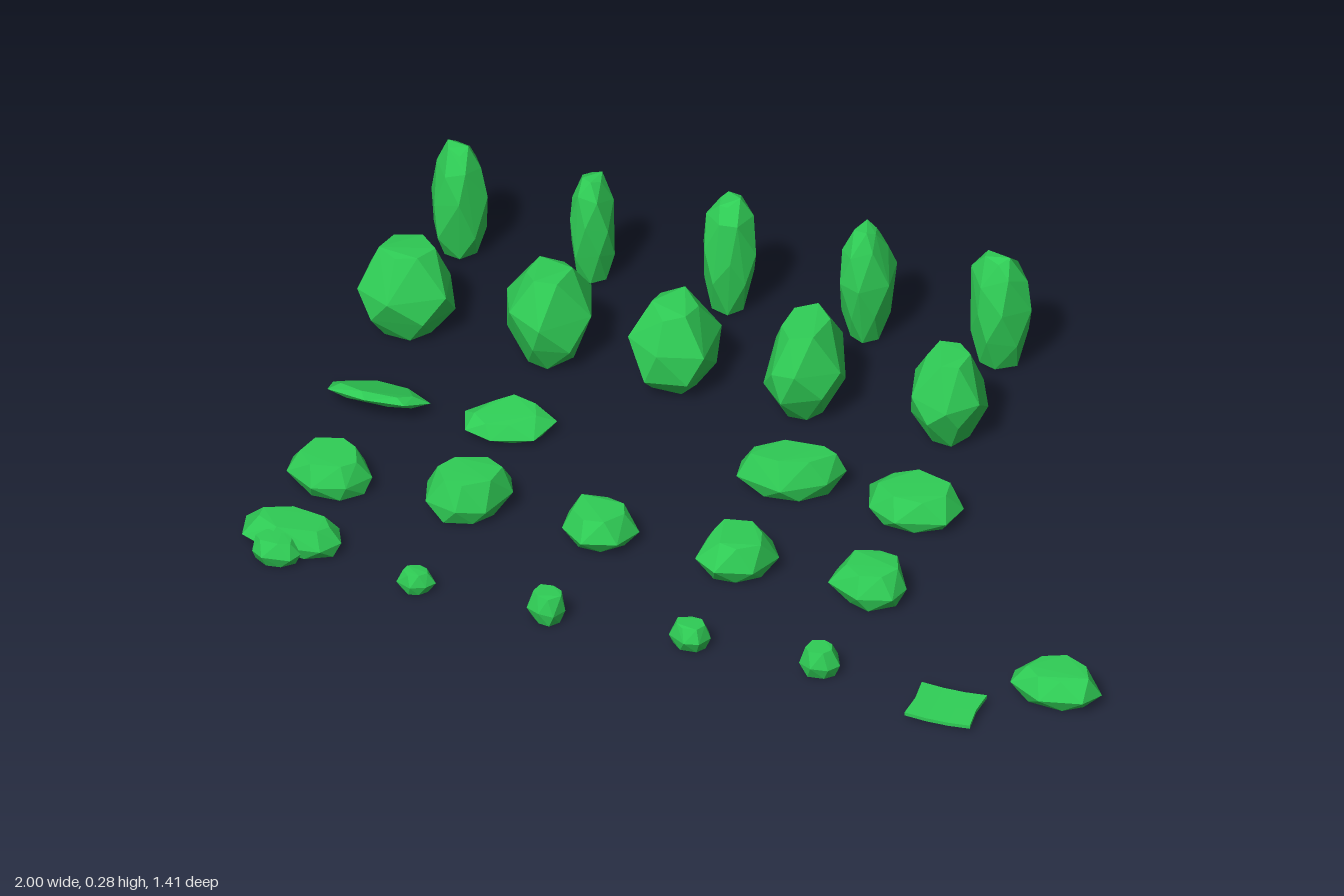
import * as THREE from 'three';
import { ConvexGeometry } from 'three/addons/geometries/ConvexGeometry.js';

const material = new THREE.MeshStandardMaterial({ color: 0x2fcc55, flatShading: true });

// small seeded generator so every rock is different but repeatable
function seeded(seed) {
  let s = seed * 7919 + 17;
  return () => {
    s = (Math.imul(s, 1664525) + 1013904223) >>> 0;
    return s / 4294967296;
  };
}

// stacked rings per kind: [radius, height]
const profiles = {
  tall: [[0.62, 0], [0.92, 0.25], [1, 0.55], [0.82, 0.8], [0.42, 1]],
  boulder: [[0.55, 0], [0.93, 0.28], [1, 0.58], [0.55, 1]],
  low: [[0.75, 0], [1, 0.4], [0.68, 1]],
};

// a faceted convex rock fitted exactly into x0..x1, 0..height, z0..z1
function rock(name, kind, [x0, x1, z0, z1, height, skew = 0, tilt = 0], seed) {
  const random = seeded(seed);
  const sides = kind === 'low' ? 7 : 6;
  const points = [];
  profiles[kind].forEach(([radius, y], ring) => {
    const turn = random() * 0.5 + ring * Math.PI / sides;
    const last = y === 0 || y === 1;
    for (let i = 0; i < sides; i++) {
      const a = turn + ((i + (random() - 0.5) * 0.35) / sides) * Math.PI * 2;
      const r = radius * (0.88 + random() * 0.22);
      const px = Math.cos(a) * r;
      const pz = Math.sin(a) * r;
      const py = y + (last ? (y ? -0.08 * random() : 0) : (random() - 0.5) * 0.12);
      points.push(new THREE.Vector3(px, py + tilt * pz, pz + skew * px));
    }
  });
  const box = new THREE.Box3().setFromPoints(points);
  const size = box.getSize(new THREE.Vector3());
  for (const p of points) {
    p.sub(box.min).divide(size);
    p.set(x0 + p.x * (x1 - x0), p.y * height, z0 + p.z * (z1 - z0));
  }
  const mesh = new THREE.Mesh(new ConvexGeometry(points), material);
  mesh.name = name;
  return mesh;
}

// rows from back to front: [x0, x1, z0, z1, height, skew, tilt]
const rows = [
  { name: 'standingStone', kind: 'tall', rocks: [
    [-0.96, -0.83, -0.71, -0.59, 0.28], [-0.64, -0.54, -0.71, -0.6, 0.265],
    [-0.34, -0.21, -0.71, -0.59, 0.285], [-0.02, 0.1, -0.71, -0.58, 0.28],
    [0.28, 0.42, -0.71, -0.59, 0.28]] },
  { name: 'boulder', kind: 'boulder', rocks: [
    [-1, -0.8, -0.44, -0.24, 0.21], [-0.68, -0.48, -0.45, -0.24, 0.22],
    [-0.38, -0.2, -0.45, -0.24, 0.21], [-0.07, 0.1, -0.46, -0.24, 0.225],
    [0.25, 0.42, -0.44, -0.26, 0.21]] },
  { name: 'flatStone', kind: 'low', rocks: [
    [-0.97, -0.74, -0.1, 0.04, 0.065, 0, 1], [-0.66, -0.46, -0.1, 0.03, 0.06, -0.25, -0.25],
    [-0.03, 0.2, -0.12, 0.03, 0.095, -0.4], [0.26, 0.48, -0.11, 0.05, 0.08]] },
  { name: 'roundStone', kind: 'low', rocks: [
    [-0.95, -0.76, 0.2, 0.36, 0.085], [-0.64, -0.45, 0.18, 0.35, 0.1, -0.2],
    [-0.32, -0.15, 0.2, 0.36, 0.08], [0, 0.17, 0.2, 0.37, 0.09],
    [0.3, 0.47, 0.2, 0.36, 0.085]] },
  { name: 'pebble', kind: 'low', rocks: [
    [-0.92, -0.81, 0.55, 0.635, 0.06], [-0.585, -0.5, 0.56, 0.63, 0.05],
    [-0.28, -0.2, 0.56, 0.64, 0.07], [0.04, 0.13, 0.56, 0.635, 0.06],
    [0.34, 0.43, 0.55, 0.635, 0.065]] },
  { name: 'broadStone', kind: 'low', rocks: [
    [-0.97, -0.74, 0.46, 0.59, 0.07], [0.79, 1, 0.44, 0.58, 0.075]] },
];

// thin slab, gently bent and rising towards the back
function slab() {
  const geometry = new THREE.BoxGeometry(0.15, 0.008, 0.11, 3, 1, 2);
  const p = geometry.attributes.position;
  for (let i = 0; i < p.count; i++) {
    const x = p.getX(i), z = p.getZ(i);
    p.setY(i, p.getY(i) + 0.012 - z * 0.08 + (Math.abs(x) > 0.05 ? 0.004 : 0));
    if (Math.abs(z) < 0.01) p.setX(i, x * 0.93);
  }
  geometry.computeVertexNormals();
  const mesh = new THREE.Mesh(geometry, material);
  mesh.name = 'thinSlab';
  mesh.position.set(0.69, 0, 0.645);
  return mesh;
}

export function createModel() {
  const group = new THREE.Group();
  group.name = 'rockSet';
  rows.forEach(({ name, kind, rocks }, r) => {
    rocks.forEach((fit, i) => group.add(rock(name + (i + 1), kind, fit, r * 10 + i + 1)));
  });
  group.add(slab());
  return group;
}
